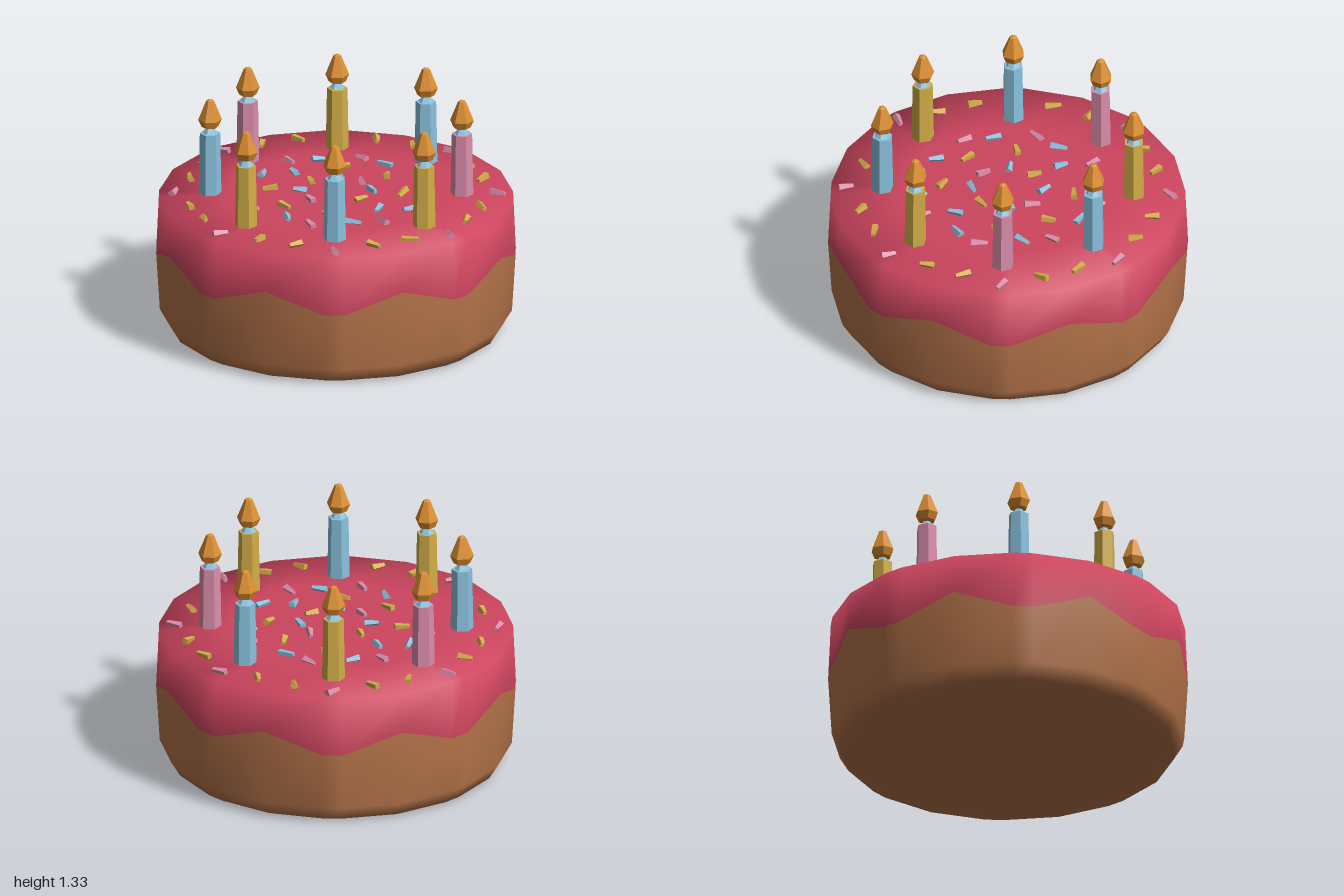
import * as THREE from 'three';

const mat = (name, color, flatShading = true) => {
  const m = new THREE.MeshStandardMaterial({ color, flatShading });
  m.name = name;
  return m;
};

// Loft of closed rings listed bottom to top; each ring is a function of angle index -> [radius, y]
function loft(angles, rings, splitRing) {
  const n = angles.length, pos = [], idx = [];
  rings.forEach(ring => angles.forEach((a, i) => {
    const [r, y] = ring(i);
    pos.push(r * Math.sin(a), y, r * Math.cos(a));
  }));
  for (let j = 0; j < rings.length - 1; j++) {
    for (let i = 0; i < n; i++) {
      const k = (i + 1) % n, a = j * n + i, b = j * n + k;
      idx.push(a, b, b + n, a, b + n, a + n);
    }
  }
  const g = new THREE.BufferGeometry();
  g.setAttribute('position', new THREE.Float32BufferAttribute(pos, 3));
  g.setIndex(idx);
  g.computeVertexNormals();
  g.addGroup(0, splitRing * n * 6, 0);
  g.addGroup(splitRing * n * 6, idx.length - splitRing * n * 6, 1);
  return g;
}

export function createModel() {
  const model = new THREE.Group();
  model.name = 'birthdayCake';
  const sponge = mat('sponge brown', 0xb5744a, false);
  const icing = mat('raspberry icing', 0xcc455e, false);
  const yellow = mat('yellow', 0xd3ae48);
  const pink = mat('pink', 0xdb8dab);
  const blue = mat('blue', 0x8ac2de);
  const orange = mat('flame orange', 0xdc8f32);
  const rad = THREE.MathUtils.degToRad;

  // Cake body: every 45 degrees a drip with two corners, and one high point between drips
  const angles = [];
  for (let k = 0; k < 8; k++) angles.push(rad(k * 45 - 3.2), rad(k * 45 + 3.2), rad(k * 45 + 22.5));
  const flat = (r, y) => () => [r, y];
  const rings = [
    flat(0.001, 0.005), flat(0.72, 0), flat(0.93, 0.017), flat(0.98, 0.1),
    i => [1, i % 3 === 2 ? 0.54 : 0.43],
    flat(0.985, 0.765), flat(0.6, 0.777), flat(0.001, 0.787),
  ];
  const cake = new THREE.Mesh(loft(angles, rings, 4), [sponge, icing]);
  cake.name = 'cakeWithIcing';
  model.add(cake);

  // Candles around the top, starting at the front and turning towards +x
  const stickGeo = new THREE.CylinderGeometry(0.057, 0.064, 0.37, 6);
  const wickGeo = new THREE.CylinderGeometry(0.012, 0.045, 0.045, 6);
  const flameGeo = new THREE.LatheGeometry([
    [0.001, 1.155], [0.048, 1.168], [0.066, 1.21], [0.022, 1.322], [0.001, 1.332],
  ].map(p => new THREE.Vector2(...p)), 6);
  [yellow, blue, yellow, pink, blue, yellow, pink, blue].forEach((color, k) => {
    const a = rad(k * 45);
    const candle = new THREE.Group();
    candle.name = 'candle';
    candle.position.set(0.7 * Math.sin(a), 0, 0.7 * Math.cos(a));
    candle.rotation.y = k * 1.1;
    const add = (name, geo, m, y) => {
      const mesh = new THREE.Mesh(geo, m);
      mesh.name = name;
      mesh.position.y = y;
      candle.add(mesh);
    };
    add('candleStick', stickGeo, color, 0.945);
    add('wick', wickGeo, blue, 1.15);
    add('flame', flameGeo, orange, 0);
    model.add(candle);
  });

  // Sprinkles: concentric rings of small tapered bars
  const barGeo = new THREE.CylinderGeometry(0.016, 0.027, 0.085, 4, 1);
  barGeo.rotateZ(Math.PI / 2);
  let seed = 7;
  const rand = () => (seed = (seed * 16807) % 2147483647) / 2147483647;
  const ringOf = (radius, offset, colors) => {
    for (let k = 0; k < 8; k++) {
      const a = rad(offset + k * 45);
      const bar = new THREE.Mesh(barGeo, colors[k % colors.length]);
      bar.name = 'sprinkle';
      bar.position.set(radius * Math.cos(a), 0.798 - 0.02 * radius, -radius * Math.sin(a));
      bar.rotation.set(rand() * 1.5, rand() * Math.PI * 2, (rand() - 0.5) * 0.3, 'YXZ');
      bar.scale.set(0.9 + rand() * 0.2, 0.85, 0.85);
      model.add(bar);
    }
  };
  ringOf(0.9, 0, [pink]);
  ringOf(0.84, 15, [yellow]);
  ringOf(0.84, 30, [yellow]);
  ringOf(0.53, 30, [pink]);
  ringOf(0.49, 12, [blue]);
  ringOf(0.37, -5, [blue, yellow, yellow, yellow]);
  ringOf(0.2, 0, [yellow, blue, pink, blue]);
  return model;
}
